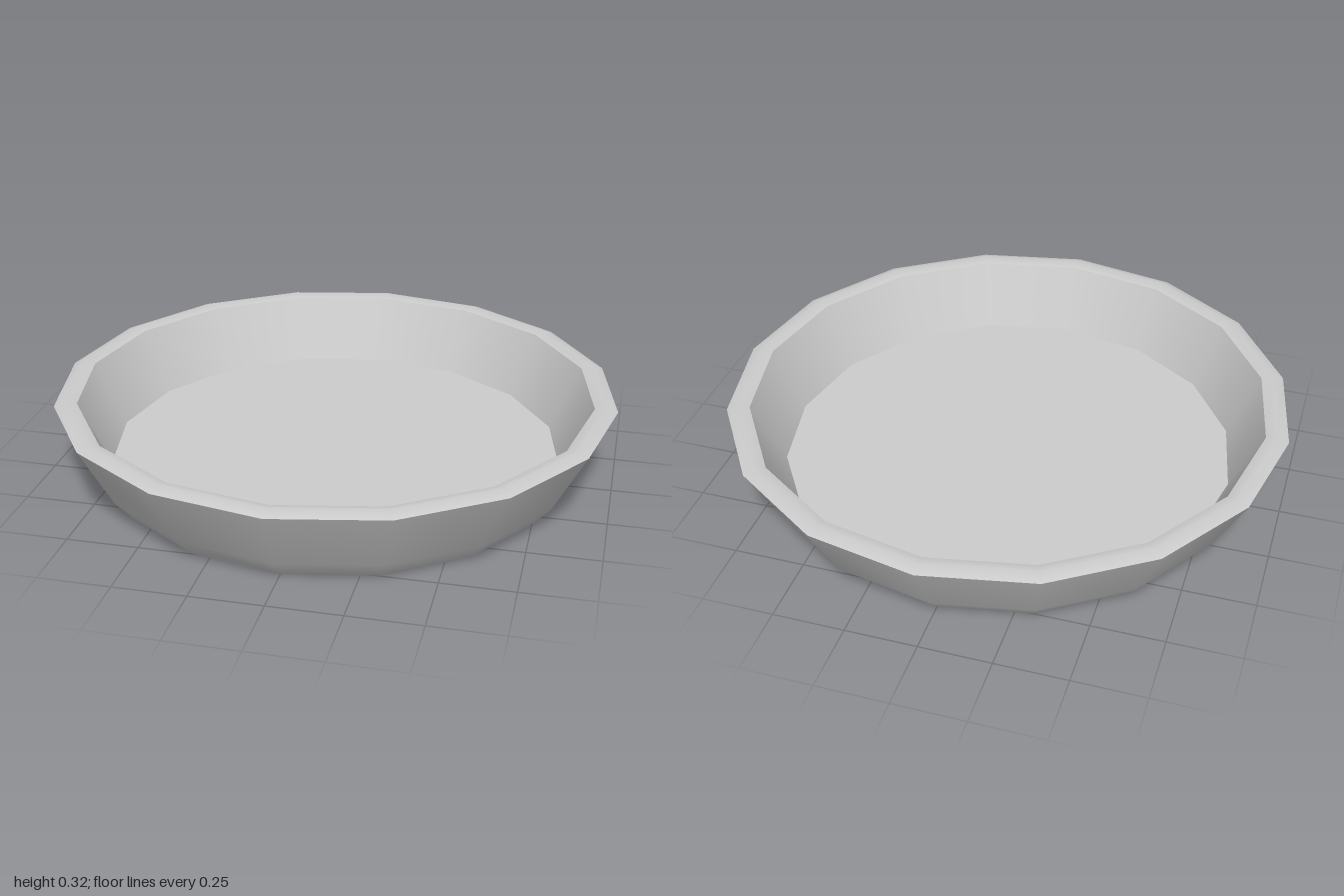
import * as THREE from 'three';

const SIDES = 16;

export function createModel() {
  const group = new THREE.Group();
  group.name = 'dish';
  const material = new THREE.MeshStandardMaterial({ color: 0xcccccc });

  // Each band of the profile is its own lathe, so edges between bands stay sharp.
  const addBand = (name, points) => {
    const profile = points.map(([r, y]) => new THREE.Vector2(r, y));
    const mesh = new THREE.Mesh(new THREE.LatheGeometry(profile, SIDES), material);
    mesh.name = name;
    group.add(mesh);
  };

  // Profile runs from the underside centre, up the outside and back to the inner floor.
  addBand('base', [[0, 0], [0.81, 0]]);
  addBand('outerWall', [[0.81, 0], [0.88, 0.08], [1, 0.305]]);
  addBand('rim', [[1, 0.305], [0.96, 0.32], [0.92, 0.31]]);
  addBand('innerWall', [[0.92, 0.31], [0.81, 0.08]]);
  addBand('floor', [[0.81, 0.08], [0, 0.08]]);

  return group;
}
